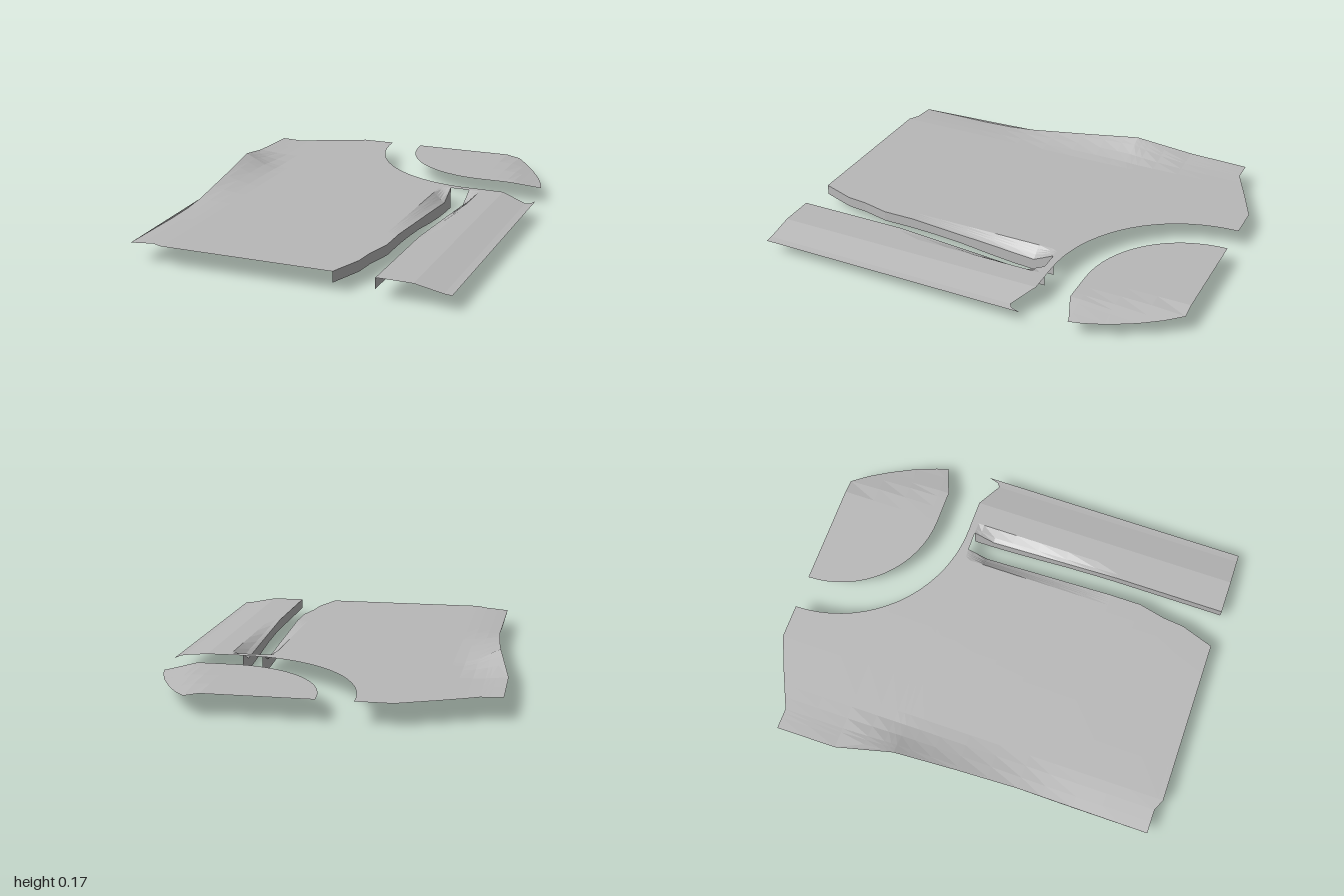
import * as THREE from 'three';

const LEVEL = 0.105;

// Piecewise linear lookup in a short list of [position, value] pairs
function at(table, p) {
  if (p <= table[0][0]) return table[0][1];
  for (let i = 1; i < table.length; i++) {
    const [a, va] = table[i - 1], [b, vb] = table[i];
    if (p <= b) return va + (vb - va) * (p - a) / (b - a);
  }
  return table[table.length - 1][1];
}

// Outline and relief of the ground
const edgeX = [[-0.55, -0.8], [-0.27, -0.745], [0.03, -0.72], [0.33, -0.7]];
const edgeY = [[-0.85, 0.109], [-0.55, 0.118], [-0.27, 0.175], [0.33, 0.107], [0.5, 0.092], [1, 0.092]];
const edgeFade = [[0, 1], [0.1, 0.28], [0.17, 0]];
const dipDepth = [[-0.3, 0], [-0.2, 0.048], [0.03, 0.03], [0.45, 0]];
const dipFade = [[0, 1], [0.02, 0.7], [0.055, 0]];
const rightSlope = [[0.63, LEVEL], [0.77, 0.077], [0.8, 0.075]];

function height(x, z) {
  let y = at(rightSlope, x + Math.max(0, -z - 0.55) * 0.35);
  y += (at(edgeY, z) - LEVEL) * at(edgeFade, x - at(edgeX, z));
  const toSlot = x < 0.42 ? 0.375 - x : x - 0.47;
  return y - at(dipDepth, z) * at(dipFade, Math.max(0, toSlot));
}

// Faceted skin over columns of points, leaving out collapsed triangles
function skin(columns) {
  const pos = [];
  const tri = (a, b, c) => {
    const n = b.clone().sub(a).cross(c.clone().sub(a));
    if (n.length() > 1e-8) for (const p of [a, b, c]) pos.push(p.x, p.y, p.z);
  };
  for (let i = 0; i + 1 < columns.length; i++) {
    for (let j = 0; j + 1 < columns[i].length; j++) {
      const a = columns[i][j], b = columns[i][j + 1];
      const c = columns[i + 1][j], d = columns[i + 1][j + 1];
      tri(a, b, c);
      tri(c, b, d);
    }
  }
  const g = new THREE.BufferGeometry();
  g.setAttribute('position', new THREE.Float32BufferAttribute(pos, 3));
  g.computeVertexNormals();
  return g;
}

const rows = [-1, -0.845, -0.7, -0.55, -0.42, -0.335, -0.3, -0.27, -0.2, -0.1, 0.03, 0.18, 0.33, 0.45, 0.6, 0.73, 0.83, 0.965, 1];

// Ground between a back and a front outline, both given over x
function sheet(xs, back, front) {
  return skin(xs.map((x) => {
    const b = back(x), f = Math.max(b, front(x));
    return rows.map((r) => {
      const z = Math.min(f, Math.max(b, r));
      return new THREE.Vector3(x, height(x, z), z);
    });
  }));
}

// Circular road edge around (0.47, -1)
const arcZ = (r) => (x) => -1 + Math.sqrt(Math.max(0, r * r - Math.min(0, x - 0.47) ** 2));
const arcXs = (r, n) => Array.from({ length: n + 1 }, (_, i) => 0.47 - r * Math.cos(i / n * Math.PI / 2));

export function createModel() {
  const model = new THREE.Group();
  const grey = new THREE.MeshStandardMaterial({ color: 0xb8b8b8, side: THREE.DoubleSide });
  grey.name = 'grey';
  const add = (name, geometry) => {
    const mesh = new THREE.Mesh(geometry, grey);
    mesh.name = name;
    model.add(mesh);
  };

  // Main ground with the raised bank on its outer edge
  const outerZ = arcZ(0.665);
  const mainBack = [[-0.8, -0.845], [-0.7, -0.845], [-0.53, -0.925], [-0.36, -1], [-0.195, -1]];
  const mainFront = [[-0.8, -0.55], [-0.745, -0.27], [-0.72, 0.03], [-0.7, 0.33], [-0.699, 0.965],
    [-0.585, 0.965], [-0.53, 0.99], [0.28, 0.99], [0.335, 0.83], [0.345, 0.73], [0.375, 0.6]];
  const mainXs = [-0.8, -0.745, -0.72, -0.7, -0.699, -0.645, -0.585, -0.53, -0.36,
    ...arcXs(0.665, 18).filter((x) => x < 0.27), 0.28, 0.32, 0.335, 0.345, 0.355, 0.375];
  add('mainGround', sheet(mainXs, (x) => (x < -0.195 ? at(mainBack, x) : outerZ(x)), (x) => at(mainFront, x)));

  // Narrow bridge behind the channel
  add('channelBridge', sheet([0.375, 0.42, 0.47], outerZ, () => -0.3));

  // Side strip sloping down to the right
  const stripBack = [[0.47, -0.335], [0.635, -0.335], [0.765, -0.273], [0.785, -0.288], [0.8, -0.335]];
  add('sideStrip', sheet([0.47, 0.49, 0.525, 0.635, 0.7, 0.765, 0.785, 0.8],
    (x) => at(stripBack, x), () => 0.99));

  // Island inside the curve
  const innerZ = arcZ(0.5);
  const islandBack = [[0.54, -1], [0.6, -0.925], [0.66, -0.83], [0.72, -0.715], [0.76, -0.61], [0.775, -0.55]];
  const islandFront = [[0.635, -0.5], [0.775, -0.555]];
  add('island', sheet([...arcXs(0.5, 16), 0.54, 0.6, 0.635, 0.66, 0.72, 0.76, 0.775],
    (x) => at(islandBack, x), (x) => (x <= 0.635 ? innerZ(x) : at(islandFront, x))));

  // Banks dropping into the channel
  const wallFoot = [[-0.3, 0], [-0.15, 0.003], [0, 0.017], [0.2, 0.042], [0.4, 0.055]];
  const wall = (path) => skin(path.map(([x, z]) => [
    new THREE.Vector3(x, at(wallFoot, z), z), new THREE.Vector3(x, height(x, z), z)]));
  const straight = [-0.3, -0.27, -0.2, -0.1, 0.03, 0.18, 0.33, 0.45, 0.6];
  add('mainChannelWall', wall([...straight.map((z) => [0.375, z]),
    [0.345, 0.73], [0.335, 0.83], [0.28, 0.99]].reverse()));
  add('stripChannelWall', wall([...straight, 0.99].map((z) => [0.47, z])));

  return model;
}
